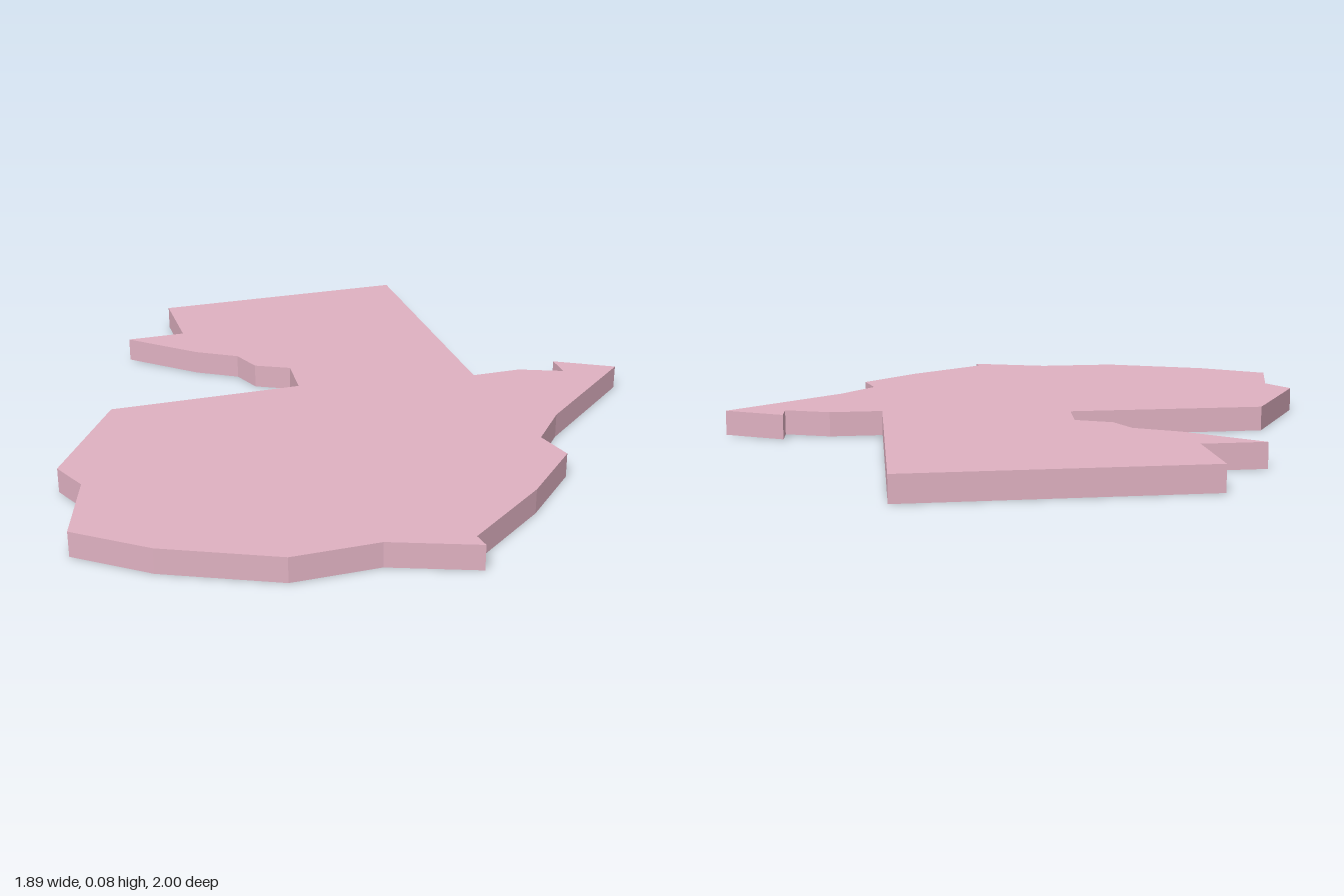
import * as THREE from 'three';

// Outline of the plate as [x, z], running round from the back left corner
const OUTLINE = [
  // back edge and straight side
  [-0.35, -1], [0.5, -1], [0.47, -0.06],
  // small notched point
  [0.63, -0.06], [0.765, -0.003], [0.77, -0.09], [0.945, 0.015],
  // ragged front
  [0.59, 0.31], [0.475, 0.445], [0.5, 0.57], [0.32, 0.75], [0.06, 0.945],
  [0.065, 0.995], [-0.18, 0.9], [-0.435, 0.9], [-0.75, 0.75], [-0.945, 0.595],
  // broad lobe
  [-0.87, 0.335], [-0.92, 0.215], [-0.705, -0.15], [-0.1, -0.15],
  // bay and spur
  [-0.085, -0.305], [-0.19, -0.36], [-0.225, -0.46], [-0.35, -0.54],
  [-0.545, -0.727], [-0.355, -0.727],
];
const THICKNESS = 0.075;

export function createModel() {
  const group = new THREE.Group();
  group.name = 'regionPlate';

  // Shape is drawn with y = -z, then laid flat so that depth becomes height
  const shape = new THREE.Shape(OUTLINE.map(([x, z]) => new THREE.Vector2(x, -z)));
  const geometry = new THREE.ExtrudeGeometry(shape, { depth: THICKNESS, bevelEnabled: false });
  geometry.rotateX(-Math.PI / 2);

  const plate = new THREE.Mesh(
    geometry,
    new THREE.MeshStandardMaterial({ color: 0xdfb1c1, flatShading: true })
  );
  plate.name = 'plate';
  group.add(plate);
  return group;
}
